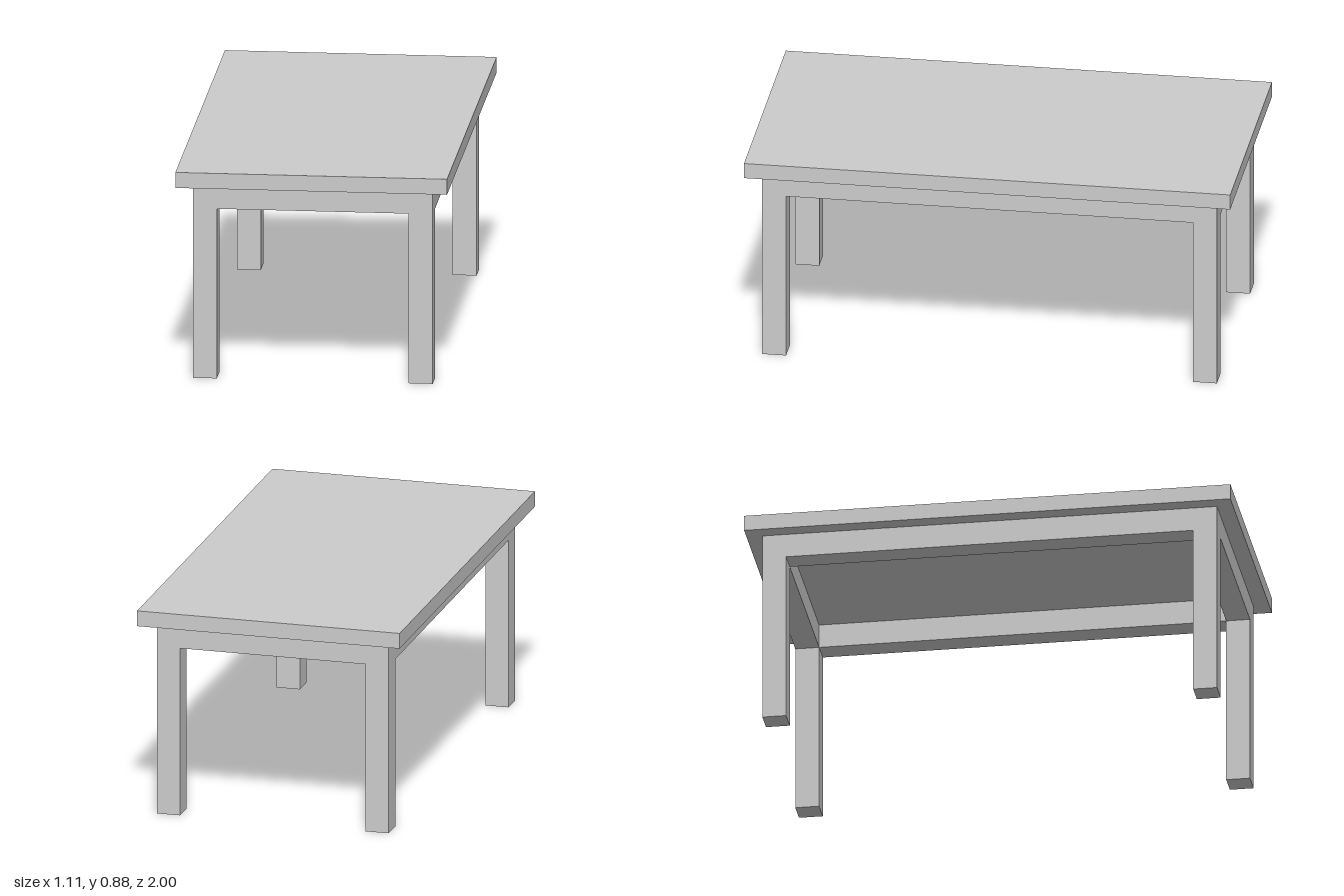
import * as THREE from 'three';

const material = new THREE.MeshStandardMaterial({ color: 0xcccccc, flatShading: true });

const TOP = { x: 1.11, z: 2, y0: 0.812, y1: 0.877 };
const FRAME = { x: 0.49, z: 0.935, y0: 0.712 }; // outer half sizes and underside
const LEG = 0.098;

function box(name, w, h, d, x, y, z) {
  const mesh = new THREE.Mesh(new THREE.BoxGeometry(w, h, d), material);
  mesh.name = name;
  mesh.position.set(x, y, z);
  return mesh;
}

function rectangle(path, hx, hz) {
  path.moveTo(-hx, -hz);
  path.lineTo(hx, -hz);
  path.lineTo(hx, hz);
  path.lineTo(-hx, hz);
  path.closePath();
  return path;
}

export function createModel() {
  const table = new THREE.Group();
  table.name = 'table';

  // Overhanging slab
  table.add(box('tabletop', TOP.x, TOP.y1 - TOP.y0, TOP.z, 0, (TOP.y0 + TOP.y1) / 2, 0));

  // Apron: one rectangular ring, as thick as the legs
  const ring = rectangle(new THREE.Shape(), FRAME.x, FRAME.z);
  ring.holes.push(rectangle(new THREE.Path(), FRAME.x - LEG, FRAME.z - LEG));
  const apronGeometry = new THREE.ExtrudeGeometry(ring, { depth: TOP.y0 - FRAME.y0, bevelEnabled: false });
  apronGeometry.rotateX(-Math.PI / 2);
  const apron = new THREE.Mesh(apronGeometry, material);
  apron.name = 'apron';
  apron.position.y = FRAME.y0;
  table.add(apron);

  // Square legs, flush with the apron at each corner
  for (const [side, sx] of [['Left', 1], ['Right', -1]]) {
    for (const [end, sz] of [['front', 1], ['back', -1]]) {
      table.add(box(`${end}${side}Leg`, LEG, FRAME.y0, LEG,
        sx * (FRAME.x - LEG / 2), FRAME.y0 / 2, sz * (FRAME.z - LEG / 2)));
    }
  }

  return table;
}
